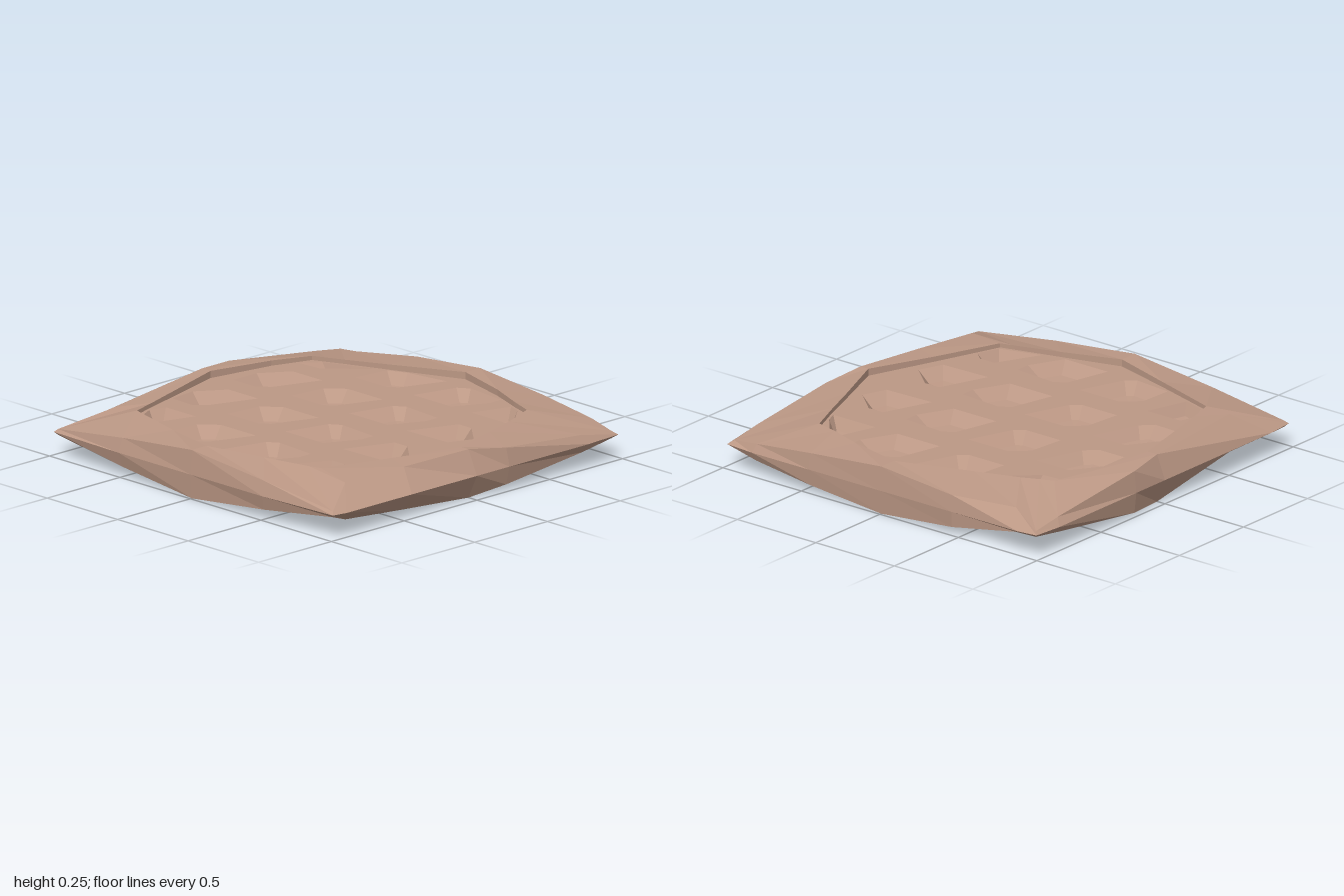
import * as THREE from 'three';

const MID = 0.125; // half the thickness

// Rim sections going round from +x: inner lip x, z, y then outer crest x, z, y
const RIM = [
  [0.89, 0, 0.25, 0.99, 0, 0.25],
  [0.81, 0.31, 0.245, 0.99, 0.45, 0.21],
  [0.74, 0.5, 0.24, 0.98, 0.8, 0.17],
  [0.7, 0.63, 0.235, 0.96, 0.96, 0.145],
  [0.5, 0.71, 0.235, 0.75, 0.97, 0.17],
  [0.3, 0.78, 0.24, 0.22, 0.98, 0.22],
  [0, 0.89, 0.25, 0, 0.94, 0.25],
  [-0.35, 0.76, 0.24, -0.4, 0.895, 0.235],
  [-0.71, 0.63, 0.235, -0.76, 0.85, 0.22],
  [-0.73, 0.56, 0.235, -0.96, 0.97, 0.14],
  [-0.8, 0.31, 0.24, -0.98, 0.5, 0.2],
  [-0.89, 0, 0.25, -0.99, 0, 0.25],
  [-0.8, -0.33, 0.24, -0.98, -0.5, 0.2],
  [-0.69, -0.7, 0.235, -0.97, -0.97, 0.14],
  [-0.55, -0.74, 0.235, -0.7, -0.84, 0.225],
  [0, -0.89, 0.25, 0, -0.95, 0.25],
  [0.36, -0.83, 0.24, 0.22, -0.985, 0.235],
  [0.57, -0.76, 0.235, 0.8, -0.97, 0.165],
  [0.6, -0.69, 0.235, 0.97, -0.97, 0.14],
  [0.64, -0.6, 0.235, 0.88, -0.77, 0.19],
  [0.73, -0.38, 0.24, 0.99, -0.45, 0.21],
];

// One rough dimple outline for each row, as x, z offsets
const ROWS = [
  { z: -0.63, outline: [[-0.16, -0.16], [0, -0.16], [0.15, -0.06], [0.15, 0.15], [-0.1, 0.06], [-0.16, 0]] },
  { z: -0.24, outline: [[-0.14, -0.16], [0.06, -0.14], [0.14, -0.05], [0.14, 0.2], [-0.1, 0.11], [-0.14, 0.06]] },
  { z: 0.2, outline: [[-0.14, -0.19], [0.1, -0.13], [0.14, -0.07], [0.12, 0.17], [0.04, 0.17], [-0.14, 0.08]] },
  { z: 0.58, outline: [[-0.14, -0.16], [0.12, -0.06], [0.12, 0.03], [0, 0.17], [-0.13, 0.12]] },
];
const COLUMNS = [-0.65, -0.22, 0.22, 0.66];

function meshFrom(name, positions, material) {
  const geometry = new THREE.BufferGeometry();
  geometry.setAttribute('position', new THREE.Float32BufferAttribute(positions, 3));
  geometry.computeVertexNormals(); // unshared corners give flat facets
  const mesh = new THREE.Mesh(geometry, material);
  mesh.name = name;
  return mesh;
}

// Closed ring: inner lip, crest, thin outer edge, then the same underneath
function rimPositions() {
  const sections = RIM.map(([ix, iz, iy, cx, cz, cy]) => {
    const atCorner = Math.min(Math.abs(cx), Math.abs(cz)) > 0.94;
    const push = (atCorner ? 0.985 : 1) / Math.max(Math.abs(cx), Math.abs(cz));
    return [
      [ix, iy, iz], [cx, cy, cz], [cx * push, MID, cz * push],
      [cx, 2 * MID - cy, cz], [ix, 2 * MID - iy, iz],
    ];
  });
  const out = [];
  sections.forEach((a, j) => {
    const b = sections[(j + 1) % sections.length];
    for (let k = 0; k < a.length; k++) {
      const n = (k + 1) % a.length;
      out.push(...a[k], ...b[k], ...a[n], ...b[k], ...b[n], ...a[n]);
    }
  });
  return out;
}

// Pull a point in so that it stays inside the rim opening
function clampToOpening(x, z) {
  let limit = Infinity;
  RIM.forEach(([ax, az], j) => {
    const [bx, bz] = RIM[(j + 1) % RIM.length];
    const ex = bx - ax, ez = bz - az;
    const det = x * ez - z * ex;
    const t = (ax * ez - az * ex) / det;
    const u = (ax * z - az * x) / det;
    if (t > 0 && u >= -0.001 && u <= 1.001) limit = Math.min(limit, t);
  });
  const s = Math.min(1, limit * 0.985);
  return new THREE.Vector2(x * s, z * s);
}

// Recessed panel with faceted bowls; side is 1 for the top, -1 for the underside
function panelPositions(side) {
  const FLOOR = 0.088, BASE = 0.03, CENTRE = 0.018;
  const out = [];
  const at = (p, h) => new THREE.Vector3(p.x, MID + side * h, p.y);
  const tri = (a, b, c) => {
    const up = (b.z - a.z) * (c.x - a.x) - (b.x - a.x) * (c.z - a.z);
    for (const p of up * side >= 0 ? [a, b, c] : [a, c, b]) out.push(p.x, p.y, p.z);
  };

  const contour = RIM.map(([x, z]) => new THREE.Vector2(x * 1.01, z * 1.01));
  const holes = [];
  for (const { z, outline } of ROWS) {
    for (const x of COLUMNS) holes.push(outline.map(([dx, dz]) => clampToOpening(x + dx, z + dz)));
  }

  // Flat floor around the dimples
  const all = [contour, ...holes].flat();
  for (const [a, b, c] of THREE.ShapeUtils.triangulateShape(contour, holes)) {
    tri(at(all[a], FLOOR), at(all[b], FLOOR), at(all[c], FLOOR));
  }

  // Sloping walls and shallow base of each dimple
  for (const hole of holes) {
    const centre = new THREE.Vector2();
    hole.forEach((p) => centre.addScaledVector(p, 1 / hole.length));
    const base = hole.map((p) => p.clone().lerp(centre, 0.42));
    hole.forEach((p, i) => {
      const n = (i + 1) % hole.length;
      tri(at(p, FLOOR), at(hole[n], FLOOR), at(base[i], BASE));
      tri(at(hole[n], FLOOR), at(base[n], BASE), at(base[i], BASE));
      tri(at(base[i], BASE), at(base[n], BASE), at(centre, CENTRE));
    });
  }
  return out;
}

export function createModel() {
  const group = new THREE.Group();
  group.name = 'dimpledTile';
  const clay = new THREE.MeshStandardMaterial({ color: 0xbc9885, flatShading: true });
  clay.name = 'paleBrown';
  clay.side = THREE.DoubleSide;

  group.add(meshFrom('rim', rimPositions(), clay));
  group.add(meshFrom('topPanel', panelPositions(1), clay));
  group.add(meshFrom('undersidePanel', panelPositions(-1), clay));
  return group;
}
